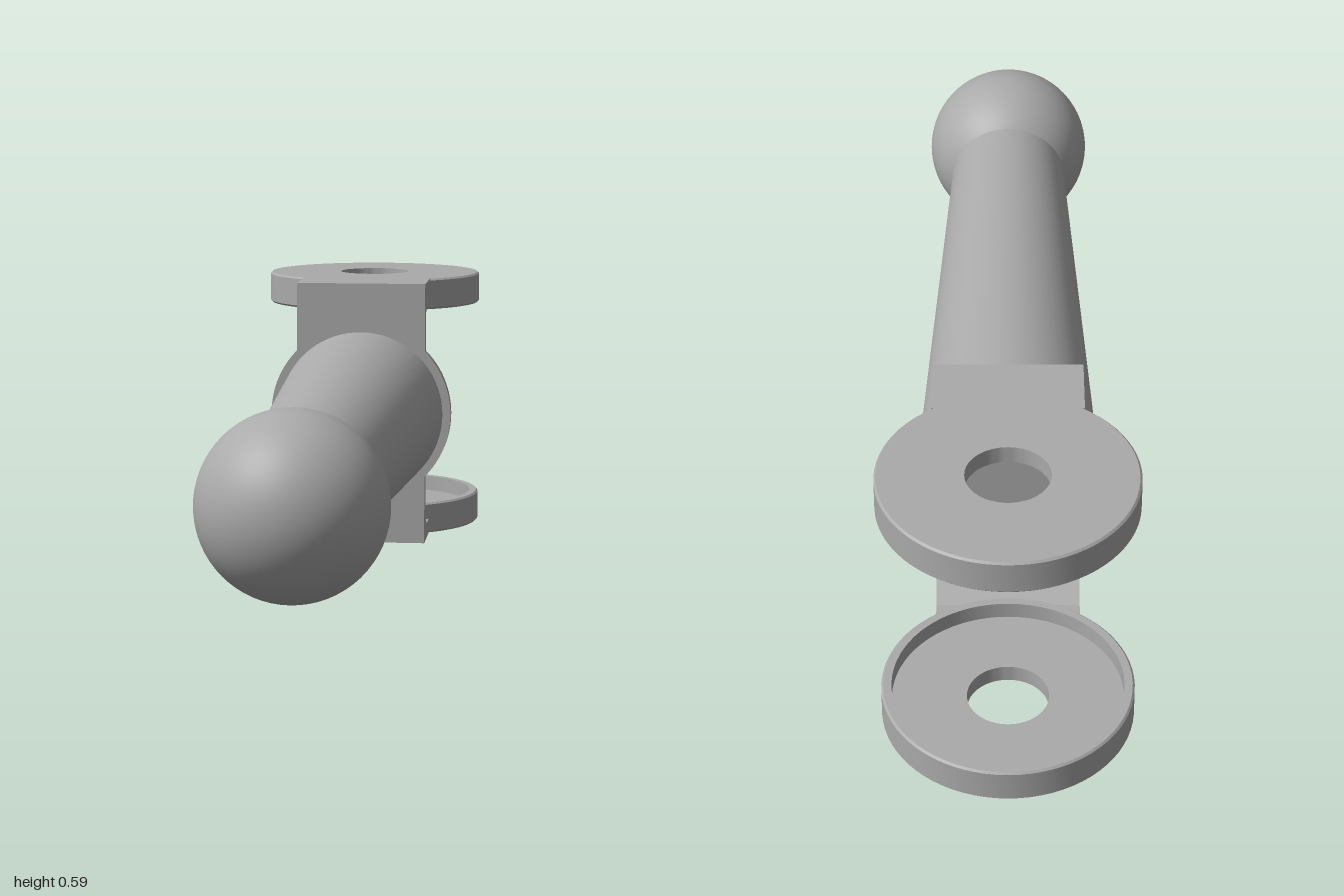
import * as THREE from 'three';
import { toCreasedNormals } from 'three/addons/utils/BufferGeometryUtils.js';

const MID = 0.295;        // height of the handle axis
const HALF_W = 0.145;     // half width of the bracket
const PLATE_Z = -0.45;    // back face of the mounting plate

const metal = new THREE.MeshStandardMaterial({ color: 0xaaaaaa });
metal.name = 'grey metal';

function part(name, geometry, parent) {
  const mesh = new THREE.Mesh(geometry, metal);
  mesh.name = name;
  parent.add(mesh);
  return mesh;
}

// Strip with round bulges at the sides and four screw holes
function plateGeometry() {
  const r = 0.203;
  const a = Math.acos(HALF_W / r);
  const s = new THREE.Shape();
  s.moveTo(-HALF_W, -MID);
  s.lineTo(HALF_W, -MID);
  s.absarc(0, 0, r, -a, a, false);
  s.lineTo(HALF_W, MID);
  s.lineTo(-HALF_W, MID);
  s.absarc(0, 0, r, Math.PI - a, Math.PI + a, false);
  s.closePath();
  for (const x of [-0.088, 0.088]) {
    for (const y of [-0.095, 0.095]) {
      const hole = new THREE.Path();
      hole.absarc(x, y, 0.012, 0, Math.PI * 2, true);
      s.holes.push(hole);
    }
  }
  const g = new THREE.ExtrudeGeometry(s, { depth: 0.03, bevelEnabled: false, curveSegments: 32 });
  return toCreasedNormals(g, 0.5);
}

// Arm with a chamfered inner corner: side profile (back, up) swept across the width
function armGeometry() {
  const s = new THREE.Shape([
    [0.45, 0.227], [0.49, 0.262], [0.556, 0.262], [0.556, 0.295], [0.45, 0.295],
  ].map(([a, b]) => new THREE.Vector2(a, b)));
  const g = new THREE.ExtrudeGeometry(s, { depth: HALF_W * 2, bevelEnabled: false });
  g.translate(0, 0, -HALF_W);
  g.rotateY(Math.PI / 2);
  return g;
}

// Shallow cup, open toward the middle, with a centre hole
function cupGeometry() {
  const R = 0.246, inner = 0.226, hole = 0.08, e = 0.004;
  const low = 0.225, floor = 0.26, top = 0.295;
  const profile = [
    [inner, low], [R - e, low], [R, low + e], [R, top - e], [R - e, top],
    [hole, top], [hole, floor], [inner, floor], [inner, low],
  ].map(([x, y]) => new THREE.Vector2(x, y));
  return toCreasedNormals(new THREE.LatheGeometry(profile, 72), 0.5);
}

export function createModel() {
  const model = new THREE.Group();
  model.name = 'ballHandle';

  // Ball knob
  const ball = new THREE.SphereGeometry(0.18, 64, 40);
  ball.rotateX(Math.PI / 2);
  part('ballKnob', ball, model).position.set(0, MID, 0.82);

  // Tapered shaft from plate to ball
  const z0 = -0.42, z1 = 0.693;
  const shaft = new THREE.CylinderGeometry(0.128, 0.185, z1 - z0, 72);
  shaft.rotateX(Math.PI / 2);
  part('shaft', shaft, model).position.set(0, MID, (z0 + z1) / 2);

  // Mounting plate
  part('mountingPlate', plateGeometry(), model).position.set(0, MID, PLATE_Z);

  // Upper and lower arms, each with a ring cup
  const arm = armGeometry();
  const cup = cupGeometry();
  ['upper', 'lower'].forEach((side, i) => {
    const clamp = new THREE.Group();
    clamp.name = side + 'Clamp';
    clamp.position.y = MID;
    clamp.rotation.z = i * Math.PI;
    part(side + 'Arm', arm, clamp);
    part(side + 'RingCup', cup, clamp).position.z = -0.754;
    model.add(clamp);
  });

  return model;
}
